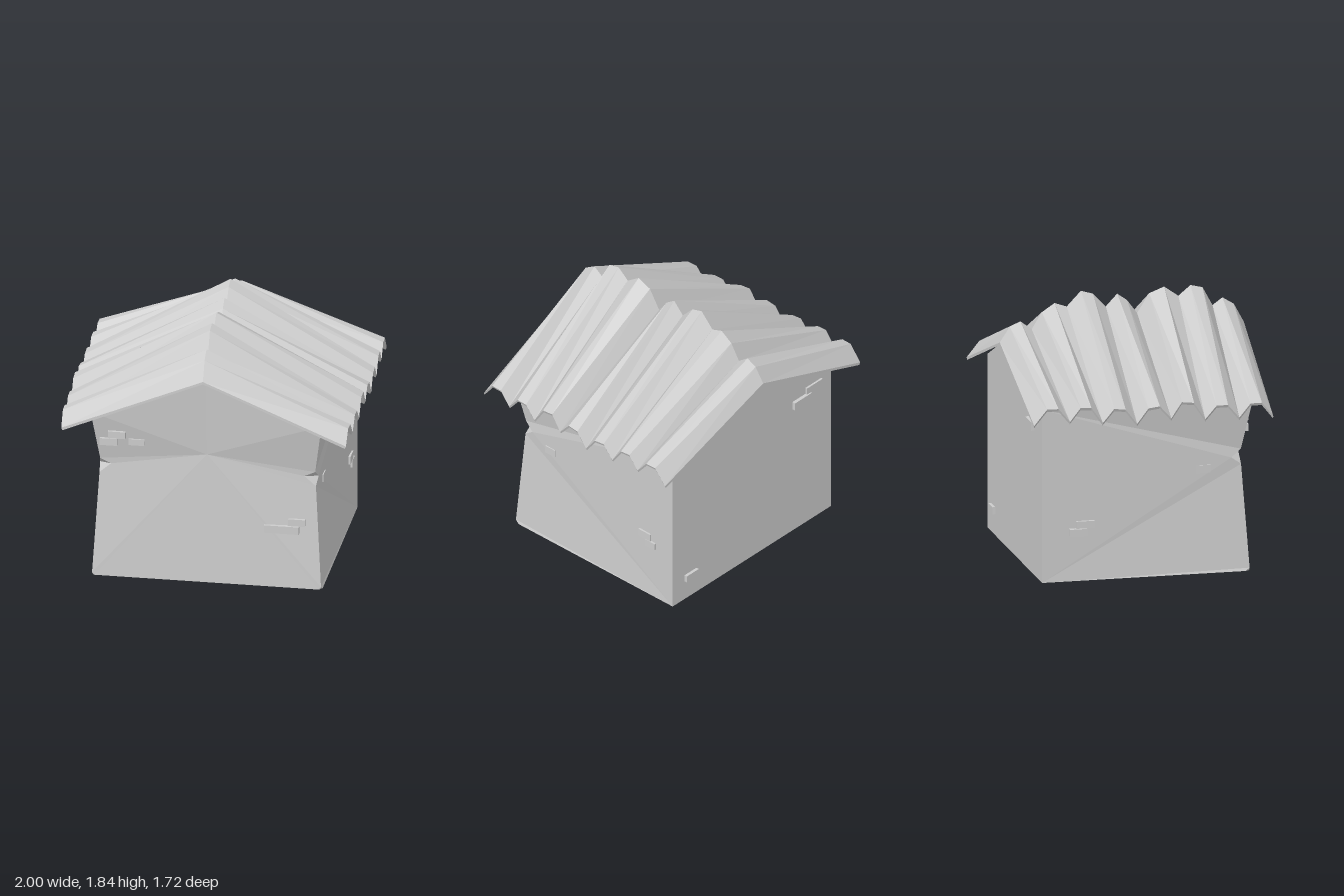
import * as THREE from 'three';

const material = new THREE.MeshStandardMaterial({ color: 0xcccccc, flatShading: true });

// Flat-shaded mesh from a list of triangles (each three [x, y, z] corners)
function meshFromTriangles(name, triangles) {
  const geometry = new THREE.BufferGeometry();
  geometry.setAttribute('position', new THREE.Float32BufferAttribute(triangles.flat(2), 3));
  geometry.computeVertexNormals();
  const mesh = new THREE.Mesh(geometry, material);
  mesh.name = name;
  return mesh;
}

// Gabled hut walls with a pinched, notched front; one half is mirrored
function createWalls() {
  const p = {
    frontFoot: [0, 0, 0.71], crease: [0, 0.94, 0.69], frontApex: [0, 1.57, 0.745],
    cornerFront: [0.78, 0, 0.71], cornerSide: [0.8, 0, 0.68], cornerTip: [0.793, 0.02, 0.71],
    notchLow: [0.75, 0.745, 0.66], notchFront: [0.67, 0.815, 0.66],
    notchSide: [0.757, 0.795, 0.59], notchHigh: [0.745, 0.85, 0.66],
    frontTop: [0.8, 1.22, 0.735], backFoot: [0.8, 0, -0.75], backTop: [0.8, 1.22, -0.75],
    backApex: [0, 1.57, -0.75], backMid: [0, 0, -0.75],
  };
  // Triangle fans: first name is the shared corner
  const fans = [
    ['crease', 'frontFoot', 'cornerFront', 'cornerTip', 'notchLow', 'notchFront', 'notchHigh', 'frontTop', 'frontApex'],
    ['notchFront', 'notchLow', 'notchSide', 'notchHigh'],
    ['cornerTip', 'cornerFront', 'cornerSide'],
    ['backTop', 'frontTop', 'notchHigh', 'notchSide', 'backFoot'],
    ['backFoot', 'notchSide', 'notchLow', 'cornerTip', 'cornerSide'],
    ['backTop', 'backFoot', 'backMid', 'backApex'],
    ['frontTop', 'backTop', 'backApex', 'frontApex'],
    ['frontFoot', 'backMid', 'backFoot', 'cornerSide', 'cornerFront'],
  ];
  const triangles = [];
  const mirror = ([x, y, z]) => [-x, y, z];
  for (const fan of fans) {
    for (let i = 1; i < fan.length - 1; i++) {
      const [a, b, c] = [p[fan[0]], p[fan[i]], p[fan[i + 1]]];
      triangles.push([a, b, c], [mirror(a), mirror(c), mirror(b)]);
    }
  }
  return meshFromTriangles('walls', triangles);
}

// Corrugated roof sheet: uneven ridge and eave waves, [z, y] from front to back
function createRoof() {
  const ridge = [
    [0.86, 1.55], [0.79, 1.68], [0.71, 1.73], [0.64, 1.68], [0.57, 1.81], [0.485, 1.83],
    [0.4, 1.76], [0.3, 1.83], [0.195, 1.79], [0.11, 1.655], [0.04, 1.75], [-0.03, 1.8],
    [-0.11, 1.715], [-0.2, 1.81], [-0.285, 1.835], [-0.385, 1.73], [-0.47, 1.76], [-0.56, 1.7],
    [-0.63, 1.585], [-0.71, 1.645], [-0.785, 1.61], [-0.855, 1.505],
  ];
  const eave = [
    [0.83, 1.11], [0.75, 1.21], [0.67, 1.21], [0.59, 1.115], [0.51, 1.21], [0.43, 1.21],
    [0.35, 1.12], [0.27, 1.24], [0.185, 1.25], [0.11, 1.14], [0.03, 1.23], [-0.05, 1.22],
    [-0.13, 1.115], [-0.21, 1.22], [-0.29, 1.23], [-0.37, 1.135], [-0.45, 1.245], [-0.525, 1.25],
    [-0.6, 1.155], [-0.68, 1.25], [-0.76, 1.25], [-0.85, 1.14],
  ];
  const thickness = 0.018;
  // Closed cross-section: upper side left to right, then underside back again
  const sections = ridge.map(([rz, ry], i) => {
    const [ez, ey] = eave[i];
    const x = 0.985 + 0.015 * Math.cos(1.8 * ez);
    return [
      [-x, ey + thickness, ez], [0, ry, rz], [x, ey + thickness, ez],
      [x - 0.008, ey, ez], [0, ry - thickness, rz], [0.008 - x, ey, ez],
    ];
  });
  const triangles = [];
  const quad = (a, b, c, d) => triangles.push([a, b, c], [a, c, d]);
  for (let i = 0; i < sections.length - 1; i++) {
    const [s, t] = [sections[i], sections[i + 1]];
    for (let j = 0; j < 6; j++) {
      const k = (j + 1) % 6;
      quad(s[j], s[k], t[k], t[j]);
    }
  }
  // End edges of the sheet
  const f = sections[0], b = sections[sections.length - 1];
  quad(f[0], f[5], f[4], f[1]);
  quad(f[1], f[4], f[3], f[2]);
  quad(b[0], b[1], b[4], b[5]);
  quad(b[1], b[2], b[3], b[4]);
  return meshFromTriangles('corrugatedRoof', triangles);
}

// Loose bricks showing through the walls: x range, y range, z range
function createBricks() {
  const group = new THREE.Group();
  group.name = 'bricks';
  const walls = {
    frontBrick: [
      [-0.74, -0.62, 0.97, 1.02, 0.65, 0.715], [-0.68, -0.56, 1.03, 1.08, 0.66, 0.73],
      [-0.54, -0.43, 0.98, 1.025, 0.65, 0.71], [0.4, 0.64, 0.4, 0.455, 0.65, 0.72],
      [0.565, 0.68, 0.455, 0.505, 0.65, 0.705],
    ],
    leftBrick: [
      [0.72, 0.77, 0.695, 0.75, 0.37, 0.46], [0.75, 0.808, 0.4, 0.45, -0.59, -0.5],
      [0.75, 0.805, 0.45, 0.505, -0.545, -0.435],
    ],
    rightBrick: [
      [-0.77, -0.72, 0.7, 0.755, 0.34, 0.44], [-0.83, -0.76, 0.32, 0.37, -0.56, -0.44],
      [-0.812, -0.76, 0.37, 0.42, -0.51, -0.38],
    ],
    backBrick: [
      [-0.58, -0.41, 1.02, 1.08, -0.775, -0.72], [-0.7, -0.54, 1.08, 1.13, -0.765, -0.72],
      [0.56, 0.68, 0.15, 0.2, -0.772, -0.72],
    ],
  };
  for (const [name, bricks] of Object.entries(walls)) {
    for (const [x0, x1, y0, y1, z0, z1] of bricks) {
      const brick = new THREE.Mesh(new THREE.BoxGeometry(x1 - x0, y1 - y0, z1 - z0), material);
      brick.position.set((x0 + x1) / 2, (y0 + y1) / 2, (z0 + z1) / 2);
      brick.name = name;
      group.add(brick);
    }
  }
  return group;
}

export function createModel() {
  const hut = new THREE.Group();
  hut.name = 'hut';
  hut.add(createWalls(), createRoof(), createBricks());
  return hut;
}
